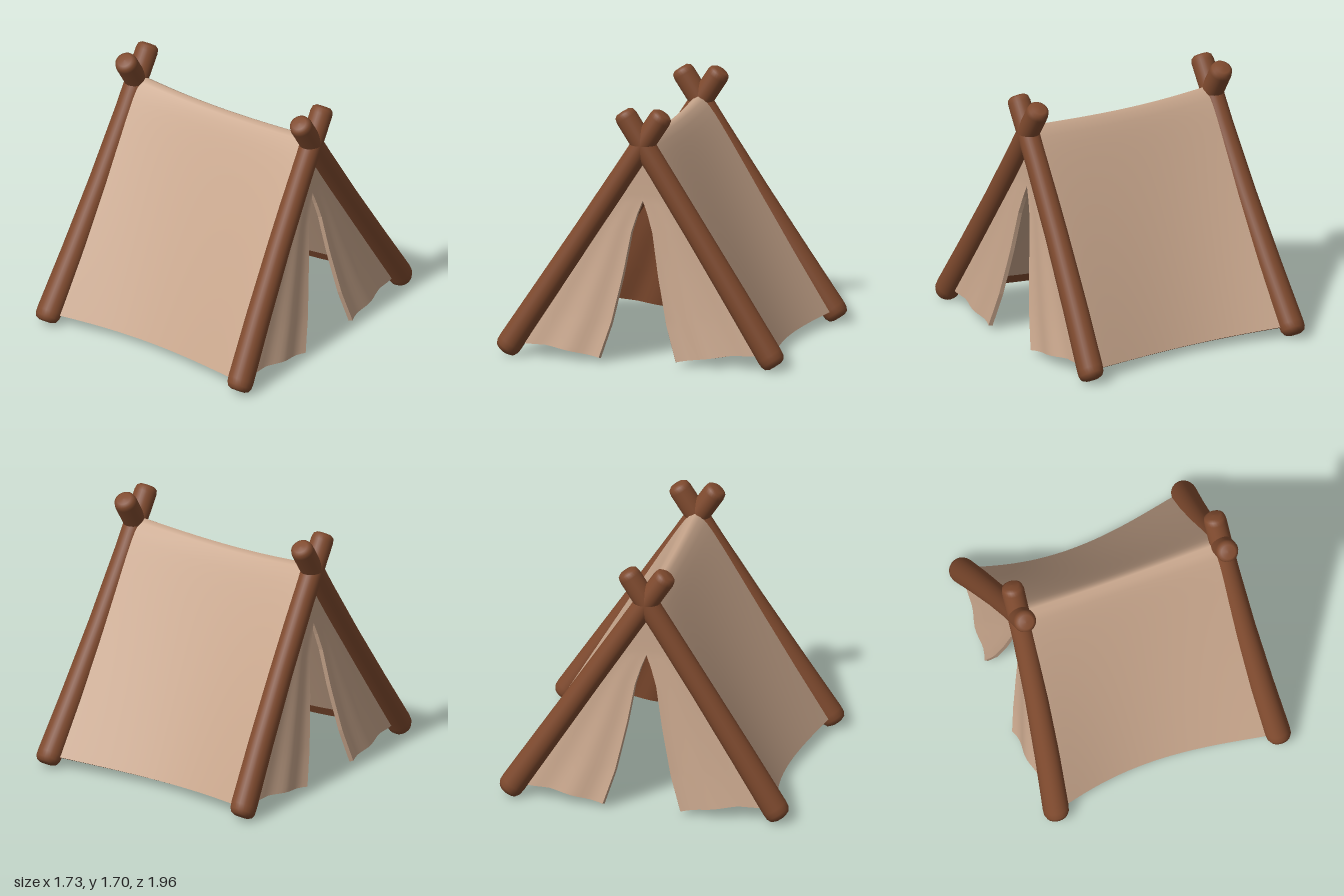
import * as THREE from 'three';

const canvas = new THREE.MeshStandardMaterial({ color: 0xc8a68c });
canvas.name = 'canvas';
const wood = new THREE.MeshStandardMaterial({ color: 0x7f4a2e });
wood.name = 'wood';

// Poles splay outwards slightly towards the ground
const poleX = (y) => 0.713 + 0.077 * Math.pow(Math.max(0, 1 - y / 1.6), 1.8);

// Thick cloth from a surface rule; du x dv faces outwards unless flipped.
// innerWood(i, j) picks brown lining cells, edgeWood(side) brown rims.
function sheet(name, rule, nu, nv, thick, flip, innerWood, edgeWood) {
  const pos = [], tan = [], brown = [];
  const id = (i, j) => j * (nu + 1) + i;
  const quad = (list, a, b, c, d) =>
    flip ? list.push(a, c, b, a, d, c) : list.push(a, b, c, a, c, d);

  // Outer face
  for (let j = 0; j <= nv; j++)
    for (let i = 0; i <= nu; i++) pos.push(...rule(i / nu, j / nv));
  for (let j = 0; j < nv; j++)
    for (let i = 0; i < nu; i++)
      quad(tan, id(i, j), id(i + 1, j), id(i + 1, j + 1), id(i, j + 1));

  // Inner face, offset along the normals
  const outer = new THREE.BufferGeometry();
  outer.setAttribute('position', new THREE.Float32BufferAttribute(pos, 3));
  outer.setIndex(tan.slice());
  outer.computeVertexNormals();
  const n = outer.attributes.normal.array;
  const count = pos.length / 3;
  for (let k = 0; k < count * 3; k++) pos.push(pos[k] - n[k] * thick);
  for (let j = 0; j < nv; j++)
    for (let i = 0; i < nu; i++)
      quad(innerWood(i, j) ? brown : tan, count + id(i, j), count + id(i, j + 1),
        count + id(i + 1, j + 1), count + id(i + 1, j));

  // Rims joining the two faces
  const rim = (a, b, side) => {
    const s = pos.length / 3;
    for (const k of [count + a, count + b, b, a])
      pos.push(pos[k * 3], pos[k * 3 + 1], pos[k * 3 + 2]);
    quad(edgeWood(side) ? brown : tan, s, s + 1, s + 2, s + 3);
  };
  for (let i = 0; i < nu; i++) {
    rim(id(i, 0), id(i + 1, 0), 'start');
    rim(id(i + 1, nv), id(i, nv), 'end');
  }
  for (let j = 0; j < nv; j++) {
    rim(id(nu, j), id(nu, j + 1), 'right');
    rim(id(0, j + 1), id(0, j), 'left');
  }

  const geo = new THREE.BufferGeometry();
  geo.setAttribute('position', new THREE.Float32BufferAttribute(pos, 3));
  geo.setIndex([...tan, ...brown]);
  geo.addGroup(0, tan.length, 0);
  geo.addGroup(tan.length, brown.length, 1);
  geo.computeVertexNormals();
  const mesh = new THREE.Mesh(geo, [canvas, wood]);
  mesh.name = name;
  return mesh;
}

// Round-ended log, leaning and bent outwards
function pole(sx, sz) {
  const L = 1.967;
  const profile = [[0, 0], [0.045, 0.002], [0.07, 0.014], [0.083, 0.04], [0.086, 0.08],
    [0.082, 0.5], [0.077, 1], [0.075, 1.5], [0.076, L - 0.05], [0.069, L - 0.018],
    [0.048, L - 0.003], [0, L]].map((p) => new THREE.Vector2(...p));
  const geo = new THREE.LatheGeometry(profile, 28);
  geo.rotateX(-Math.atan2(1.07, 1.65));
  geo.translate(0, 0.035, 0.93);
  if (sz < 0) geo.rotateY(Math.PI);
  const p = geo.attributes.position;
  for (let i = 0; i < p.count; i++) p.setX(i, p.getX(i) + sx * poleX(p.getY(i)));
  const mesh = new THREE.Mesh(geo, wood);
  mesh.name = (sz > 0 ? 'front' : 'back') + (sx > 0 ? 'Left' : 'Right') + 'Pole';
  return mesh;
}

// Roof cloth over the ridge, sagging inwards between the poles
function roofPoint(a, b) {
  const u = a * 2 - 1, v = 1 - b * 2, e = 0.06;
  const w = u + 0.1 * (1 - u * u);
  const sag = Math.pow(Math.max(0, 1 - w * w), 1.2);
  const top = 1.515 - 0.03 * sag, bottom = 0.095 - 0.03 * sag;
  const drop = (Math.hypot(v, e) - e) / (Math.hypot(1, e) - e);
  const y = top - (top - bottom) * drop;
  return [u * poleX(y), y, v * (0.91 - 0.115 * sag)];
}

// Inner edge of a door flap: [y, z]
const slit = [[1.42, 0], [1.09, 0], [1.0, 0.035], [0.88, 0.072], [0.6, 0.12],
  [0.275, 0.19], [0.04, 0.265]];
function slitZ(y) {
  for (let k = 1; k < slit.length; k++) {
    const [y0, z0] = slit[k - 1], [y1, z1] = slit[k];
    if (y >= y1 - 1e-6) return z0 + (z1 - z0) * (y0 - y) / (y0 - y1);
  }
  return slit[slit.length - 1][1];
}

// Door flap hanging from a pole and flaring out at the slit
function flap(sx, sz) {
  const rule = (a, b) => {
    const yIn = 1.42 - 1.38 * b;
    const y = yIn + 0.055 * b * Math.min(1, a * 1.6);
    const zPole = (1.469 - y) / 1.542 - 0.02 * b;
    const z = slitZ(yIn) * (1 - a) + zPole * a;
    const low = Math.max(0, 1 - y / 1.1);
    const x = poleX(y) + low * (0.075 * Math.pow(1 - a, 0.8)
      - 0.016 * Math.sin(a * Math.PI * 4) * (1 - a));
    return [sx * x, y, sz * z];
  };
  const name = (sz > 0 ? 'front' : 'back') + (sx > 0 ? 'Left' : 'Right') + 'Flap';
  return sheet(name, rule, 16, 46, 0.028, sx * sz < 0, () => true, (s) => s === 'end');
}

export function createModel() {
  const tent = new THREE.Group();
  tent.name = 'tent';
  const nu = 28, nv = 48;
  tent.add(sheet('roofCloth', roofPoint, nu, nv, 0.032, false,
    (i, j) => i < 3 || i >= nu - 3 || j < 1 || j >= nv - 1,
    () => true));
  for (const sx of [1, -1])
    for (const sz of [1, -1]) tent.add(pole(sx, sz), flap(sx, sz));
  return tent;
}
